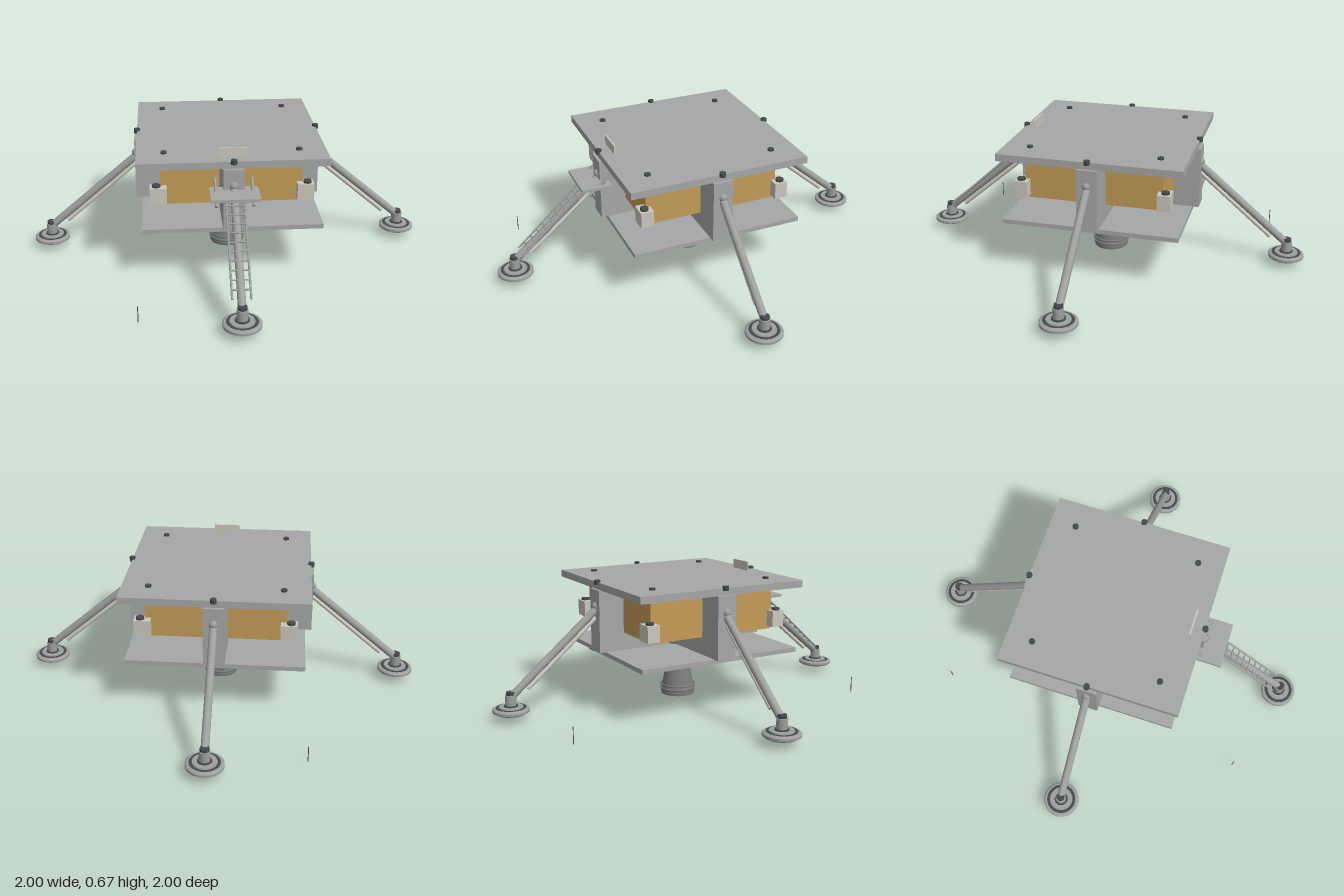
import * as THREE from 'three';

const mat = (name, color, side = THREE.FrontSide) => {
  const m = new THREE.MeshStandardMaterial({ color, side });
  m.name = name;
  return m;
};

export function createModel() {
  const hull = mat('hull grey', 0xa6a8a7);
  const metal = mat('leg metal', 0x9da09f);
  const engineGrey = mat('engine grey', 0x7b7d7d, THREE.DoubleSide);
  const dark = mat('dark fittings', 0x474a4b);
  const gold = mat('gold foil', 0xc49c58);
  const pale = mat('pale panel', 0xcbc8bd);

  const model = new THREE.Group();
  model.name = 'lander';

  const add = (parent, name, geo, material, x = 0, y = 0, z = 0) => {
    const m = new THREE.Mesh(geo, material);
    m.name = name;
    m.position.set(x, y, z);
    parent.add(m);
    return m;
  };
  const box = (p, name, w, h, d, material, x, y, z) =>
    add(p, name, new THREE.BoxGeometry(w, h, d), material, x, y, z);
  // Upright cylinder given by its bottom and top heights
  const drum = (p, name, rTop, rBottom, y0, y1, material, x = 0, z = 0, n = 32) =>
    add(p, name, new THREE.CylinderGeometry(rTop, rBottom, y1 - y0, n), material, x, (y0 + y1) / 2, z);
  // Round rod between two points
  const rod = (p, name, a, b, r, material, n = 12) => {
    const A = new THREE.Vector3(...a), B = new THREE.Vector3(...b);
    const dir = B.clone().sub(A);
    const m = add(p, name, new THREE.CylinderGeometry(r, r, dir.length(), n), material);
    m.position.copy(A).add(B).multiplyScalar(0.5);
    m.quaternion.setFromUnitVectors(new THREE.Vector3(0, 1, 0), dir.normalize());
    return m;
  };

  // Body: two decks joined by a cross of beams
  box(model, 'topDeck', 0.9, 0.035, 0.9, hull, 0, 0.604, 0);
  box(model, 'lowerDeck', 0.866, 0.022, 0.866, hull, 0, 0.269, 0);
  box(model, 'crossBeamX', 0.93, 0.308, 0.1, hull, 0, 0.433, 0);
  box(model, 'crossBeamZ', 0.1, 0.308, 0.93, hull, 0, 0.433, 0);

  // Foil tank, thruster block, engine strut and deck bolt in every quadrant
  for (const sx of [-1, 1]) for (const sz of [-1, 1]) {
    box(model, 'foilTank', 0.28, 0.216, 0.28, gold, sx * 0.2, 0.479, sz * 0.2);
    box(model, 'thrusterBlock', 0.08, 0.08, 0.064, pale, sx * 0.35, 0.427, sz * 0.35);
    drum(model, 'thrusterCap', 0.02, 0.02, 0.467, 0.478, dark, sx * 0.36, sz * 0.355, 16);
    rod(model, 'engineStrut', [sx * 0.09, 0.3, sz * 0.09], [sx * 0.17, 0.38, sz * 0.17], 0.009, metal);
    drum(model, 'deckBolt', 0.015, 0.015, 0.62, 0.631, dark, sx * 0.32, sz * 0.32, 16);
  }

  // Descent engine
  const engine = new THREE.Group();
  engine.name = 'engine';
  model.add(engine);
  drum(engine, 'engineTop', 0.09, 0.09, 0.27, 0.325, engineGrey);
  drum(engine, 'engineHub', 0.105, 0.105, 0.19, 0.262, engineGrey);
  drum(engine, 'engineFlange', 0.125, 0.125, 0.175, 0.195, engineGrey);
  drum(engine, 'engineNeck', 0.06, 0.06, 0.155, 0.178, dark);
  for (let i = 0; i < 8; i++) {
    const a = (i + 0.5) * Math.PI / 4;
    drum(engine, 'flangeBolt', 0.007, 0.007, 0.167, 0.176, dark, 0.105 * Math.cos(a), 0.105 * Math.sin(a), 8);
  }
  add(engine, 'nozzle', new THREE.CylinderGeometry(0.06, 0.088, 0.145, 40, 1, true), engineGrey, 0, 0.0875, 0);
  add(engine, 'nozzleSkirt', new THREE.CylinderGeometry(0.088, 0.085, 0.03, 40, 1, true), engineGrey, 0, 0.016, 0);
  for (const y of [0.05, 0.03]) {
    const ring = add(engine, 'nozzleRing', new THREE.TorusGeometry(0.087, 0.005, 8, 40), engineGrey, 0, y, 0);
    ring.rotation.x = Math.PI / 2;
  }
  // Dark inner lining, faces turned inwards
  const lining = new THREE.LatheGeometry(
    [[0, 0.15], [0.056, 0.15], [0.083, 0.016], [0.082, 0.003]].map(p => new THREE.Vector2(...p)), 40);
  lining.index.array.reverse();
  const normals = lining.attributes.normal;
  lining.computeVertexNormals();
  // Make certain the lining shows towards the opening
  if (normals.getY(0) > 0) {
    lining.index.array.reverse();
    lining.computeVertexNormals();
  }
  add(engine, 'nozzleLining', lining, dark);

  // Four legs, each built along +z and turned into place
  const padProfile = [[0, 0.034], [0.075, 0.034], [0.088, 0.042], [0.088, 0.054], [0.08, 0.06], [0, 0.06]]
    .map(p => new THREE.Vector2(...p));
  for (let i = 0; i < 4; i++) {
    const leg = new THREE.Group();
    leg.name = 'landingLeg';
    leg.rotation.y = i * Math.PI / 2;
    model.add(leg);
    rod(leg, 'mainStrut', [0, 0.505, 0.44], [0, 0.118, 0.9], 0.019, metal, 20);
    add(leg, 'strutShoulder', new THREE.SphereGeometry(0.022, 16, 10), metal, 0, 0.505, 0.458);
    rod(leg, 'lowerStrut', [0, 0.448, 0.462], [0, 0.14, 0.825], 0.011, pale);
    drum(leg, 'ankle', 0.026, 0.026, 0.058, 0.122, metal, 0, 0.91, 24);
    drum(leg, 'ankleCap', 0.021, 0.021, 0.12, 0.137, dark, 0, 0.91, 24);
    const pad = padProfile.map(p => p.clone());
    const disc = new THREE.LatheGeometry(pad, 40).toNonIndexed();
    disc.computeVertexNormals();
    add(leg, 'footPad', disc, metal, 0, 0, 0.91);
    const groove = add(leg, 'padGroove', new THREE.RingGeometry(0.058, 0.072, 40), dark, 0, 0.0615, 0.91);
    groove.rotation.x = -Math.PI / 2;
    drum(leg, 'padStep', 0.056, 0.058, 0.058, 0.067, metal, 0, 0.91, 40);
    drum(leg, 'padCollar', 0.032, 0.034, 0.066, 0.073, dark, 0, 0.91, 24);
    drum(leg, 'edgeBolt', 0.015, 0.015, 0.61, 0.632, dark, 0, 0.45, 16);
  }

  // Porch with slanted hand rails
  box(model, 'porch', 0.23, 0.014, 0.15, hull, 0, 0.48, 0.5);
  for (const s of [-1, 1])
    rod(model, 'handRail', [s * 0.086, 0.435, 0.535], [s * 0.086, 0.53, 0.42], 0.007, metal);

  // Ladder on the front leg
  const ladderTop = [0.475, 0.515], ladderFoot = [0.15, 0.875];
  for (const s of [-1, 1])
    rod(model, 'ladderRail', [s * 0.042, ...ladderTop], [s * 0.042, ...ladderFoot], 0.005, metal, 8);
  for (let i = 1; i < 11; i++) {
    const t = i / 11;
    const y = ladderTop[0] + (ladderFoot[0] - ladderTop[0]) * t;
    const z = ladderTop[1] + (ladderFoot[1] - ladderTop[1]) * t;
    rod(model, 'ladderRung', [-0.042, y, z], [0.042, y, z], 0.004, metal, 8);
  }

  // Upright plate on the top deck
  box(model, 'deckPlate', 0.132, 0.048, 0.008, pale, 0, 0.644, 0.388);

  // Three thin contact probes
  for (let i = 0; i < 3; i++) {
    const a = i * Math.PI * 2 / 3;
    drum(model, 'contactProbe', 0.002, 0.002, 0, 0.08, dark, 0.91 * Math.cos(a), 0.91 * Math.sin(a), 8);
  }
  return model;
}
